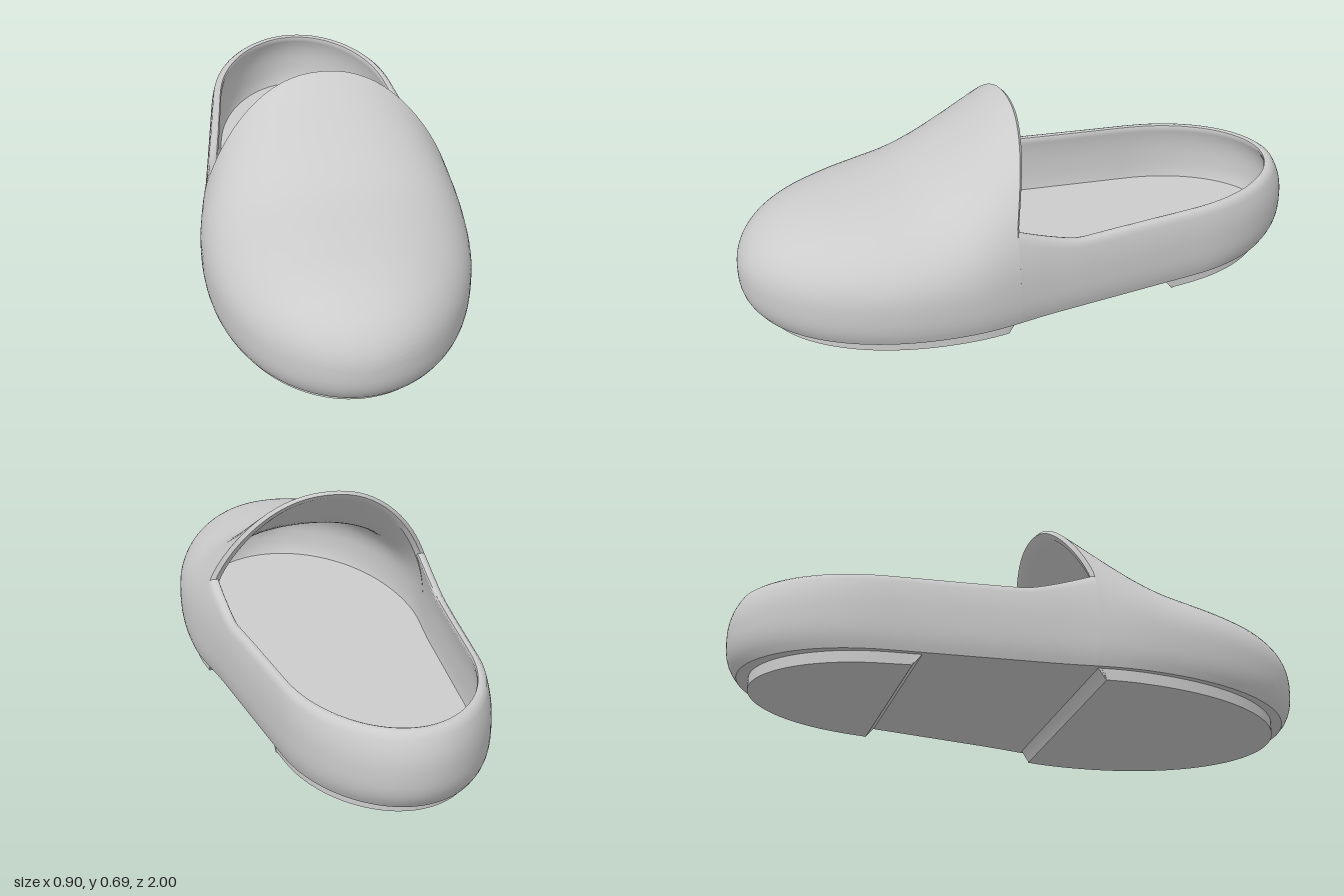
import * as THREE from 'three';
import { mergeVertices, toCreasedNormals } from 'three/addons/utils/BufferGeometryUtils.js';

const MID = 0.17;    // height of the widest line
const BASE = 0.04;   // underside of the shell
const FRONT = 0.14;  // where the vamp meets the heel wall
const clamp01 = (t) => Math.min(1, Math.max(0, t));

// Half width of the plan outline at z
function halfWidth(z) {
  if (z >= 0.3) return 0.45 * Math.sqrt(Math.max(0, 1 - ((z - 0.3) / 0.7) ** 2.1));
  if (z > 0) {
    const t = z / 0.3, s = t * t * (3 - 2 * t);
    return 0.4125 * (1 - s) + 0.45 * s + 0.034 * t * (1 - t) ** 2;
  }
  const cap = clamp01((-0.55 - z) / 0.45);
  return (0.4125 + 0.1125 * z) * Math.sqrt(1 - cap ** 2.3);
}

// Height of the vamp's crown, from z = 0 to z = 1
const crown = new THREE.SplineCurve(
  [0.715, 0.655, 0.58, 0.51, 0.46, 0.435, 0.418, 0.4, 0.385, 0.378, 0.375]
    .map((y, i) => new THREE.Vector2(i / 10, y)));
function crownHeight(z) {
  const cap = clamp01((z - 0.7) / 0.3);
  return MID + (crown.getPoint(clamp01(z)).y - MID) * Math.sqrt(1 - cap ** 2.3);
}

// Smooth skin over rows of points
function skin(rows, crease = 0.8) {
  const n = rows[0].length, index = [];
  for (let i = 0; i < rows.length - 1; i++) {
    for (let j = 0; j < n - 1; j++) {
      const a = i * n + j, b = a + n;
      index.push(a, b, a + 1, b, b + 1, a + 1);
    }
  }
  let geo = new THREE.BufferGeometry();
  geo.setAttribute('position', new THREE.Float32BufferAttribute(rows.flat(2), 3));
  geo.setIndex(index);
  geo = mergeVertices(geo, 1e-5);
  // drop triangles collapsed at the tips
  const id = geo.index.array, keep = [];
  for (let k = 0; k < id.length; k += 3) {
    const [a, b, c] = [id[k], id[k + 1], id[k + 2]];
    if (a !== b && b !== c && a !== c) keep.push(a, b, c);
  }
  geo.setIndex(keep);
  return toCreasedNormals(geo, crease);
}

// Point on the tucked-in lower side; d runs from 0 (widest) to 1 (base)
function lowerPoint(z, side, d) {
  const s = 1 - 0.04 * d ** 3;
  return [side * halfWidth(z) * s, MID - (MID - BASE) * d, z * s];
}

// Vamp section: up one side, over the crown, down the other
function vampSection(z0, inner) {
  const pts = [], LOW = 6, ARC = 40;
  const add = ([x, y, z], h) => pts.push(inner
    ? [x * 0.92, y - 0.025 * h, z - 0.04 * Math.max(0, z - FRONT) / 0.86] : [x, y, z]);
  for (let j = 0; j < LOW; j++) add(lowerPoint(z0, 1, 1 - j / LOW), 0);
  const lean = 0.09 * ((1 - z0) / 0.86) ** 2;
  for (let j = 0; j <= ARC; j++) {
    const a = Math.PI * j / ARC, c = Math.cos(a);
    const h = Math.max(0, Math.sin(a)) ** (2 / 2.2);
    const z = z0 - lean * clamp01((h - 0.45) / 0.55) ** 1.3;
    const x = Math.sign(c) * Math.abs(c) ** (2 / 2.2) * halfWidth(z);
    add([x, MID + (crownHeight(z) - MID) * h, z], h);
  }
  for (let j = 1; j <= LOW; j++) add(lowerPoint(z0, -1, j / LOW), 0);
  return pts;
}

function vampGeometry() {
  const N = 40, outer = [], inner = [];
  for (let i = 0; i <= N; i++) {
    const z0 = FRONT + 0.86 * Math.cos(Math.PI / 2 * i / N);
    outer.push(vampSection(z0, false));
    inner.unshift(vampSection(z0, true));
  }
  // rounded lip of the opening
  const lip = outer[N].map((p, j) => {
    const q = inner[0][j];
    return [(p[0] + q[0]) / 2, (p[1] + q[1]) / 2 + 0.003, (p[2] + q[2]) / 2 - 0.01];
  });
  return skin([...outer, lip, ...inner]);
}

// Wall profile at one place on the U-shaped heel path
function wallSection(z0, side) {
  const pts = [], LOW = 6, UP = 8;
  const blend = clamp01((z0 + 0.3) / (FRONT + 0.3));
  const span = THREE.MathUtils.lerp(0.4, crownHeight(FRONT) - MID, blend * blend * (3 - 2 * blend));
  const rim = 0.305 + 0.075 * clamp01((z0 + 0.1) / 0.24) ** 1.3;
  const upper = (y, thin) => {
    const s = (1 - Math.max(0, (y - MID) / span) ** 2.2) ** (1 / 2.2);
    return [side * halfWidth(z0) * s * (1 - 0.08 * thin), y,
      z0 < 0 ? z0 * s * (1 - 0.035 * thin) : z0];
  };
  for (let j = 0; j < LOW; j++) pts.push(lowerPoint(z0, side, 1 - j / LOW));
  for (let j = 0; j <= UP; j++) pts.push(upper(MID + (rim - 0.012 - MID) * j / UP, 0));
  pts.push(upper(rim - 0.003, 0.2), upper(rim, 0.5), upper(rim - 0.003, 0.8));
  for (let j = 0; j <= UP; j++) pts.push(upper(rim - 0.012 - (rim - 0.012 - MID) * j / UP, 1));
  for (let j = 1; j <= LOW; j++) {
    const [x, y, z] = lowerPoint(z0, side, j / LOW);
    pts.push([x * 0.92, y, z < 0 ? z * 0.965 : z]);
  }
  return pts;
}

function wallGeometry() {
  const rows = [], N = 96;
  for (let i = 0; i <= N; i++) {
    const t = Math.PI * i / N;
    rows.push(wallSection(FRONT - (1 + FRONT) * Math.sin(t), i <= N / 2 ? 1 : -1));
  }
  return skin(rows);
}

// Flat slab following the outline between two z values
function slab(scale, zMin, zMax, y0, y1) {
  const right = [], N = 48;
  for (let i = 0; i <= N; i++) {
    const z = (zMin + zMax) / 2 - (zMax - zMin) / 2 * Math.cos(Math.PI * i / N);
    right.push(new THREE.Vector2(halfWidth(z) * scale, z * scale));
  }
  const left = right.map((p) => new THREE.Vector2(-p.x, p.y)).reverse();
  const outline = [...right, ...left].filter((p, i, all) =>
    i === 0 || p.distanceTo(all[i - 1]) > 1e-5);
  if (outline[0].distanceTo(outline[outline.length - 1]) < 1e-5) outline.pop();
  const geo = new THREE.ExtrudeGeometry(new THREE.Shape(outline), { depth: y1 - y0, bevelEnabled: false });
  geo.rotateX(Math.PI / 2).translate(0, y1, 0);
  return geo;
}

// Tread pad whose straight edge slopes inwards at the bottom
function treadPad(zMin, zMax, cut, slope) {
  const geo = slab(0.92, zMin / 0.92, zMax / 0.92, 0, 0.045);
  const p = geo.attributes.position;
  for (let i = 0; i < p.count; i++) {
    if (p.getY(i) < 0.01 && Math.abs(p.getZ(i) - cut) < 1e-4) p.setZ(i, cut + slope);
    else if (p.getY(i) < 0.01 && (p.getZ(i) - cut) / slope < 1) p.setZ(i, cut + slope);
  }
  return toCreasedNormals(geo, 0.6);
}

export function createModel() {
  const group = new THREE.Group();
  const material = new THREE.MeshStandardMaterial({ color: 0xcccccc, side: THREE.DoubleSide });
  const add = (name, geo) => {
    const mesh = new THREE.Mesh(geo, material);
    mesh.name = name;
    group.add(mesh);
  };
  add('vamp', vampGeometry());
  add('heelWall', wallGeometry());
  add('footbed', toCreasedNormals(slab(0.96, -1, 1, BASE, 0.08), 0.6));
  add('frontTread', treadPad(0.14, 0.92, 0.14, 0.03));
  add('heelTread', treadPad(-0.92, -0.42, -0.42, -0.035));
  return group;
}
